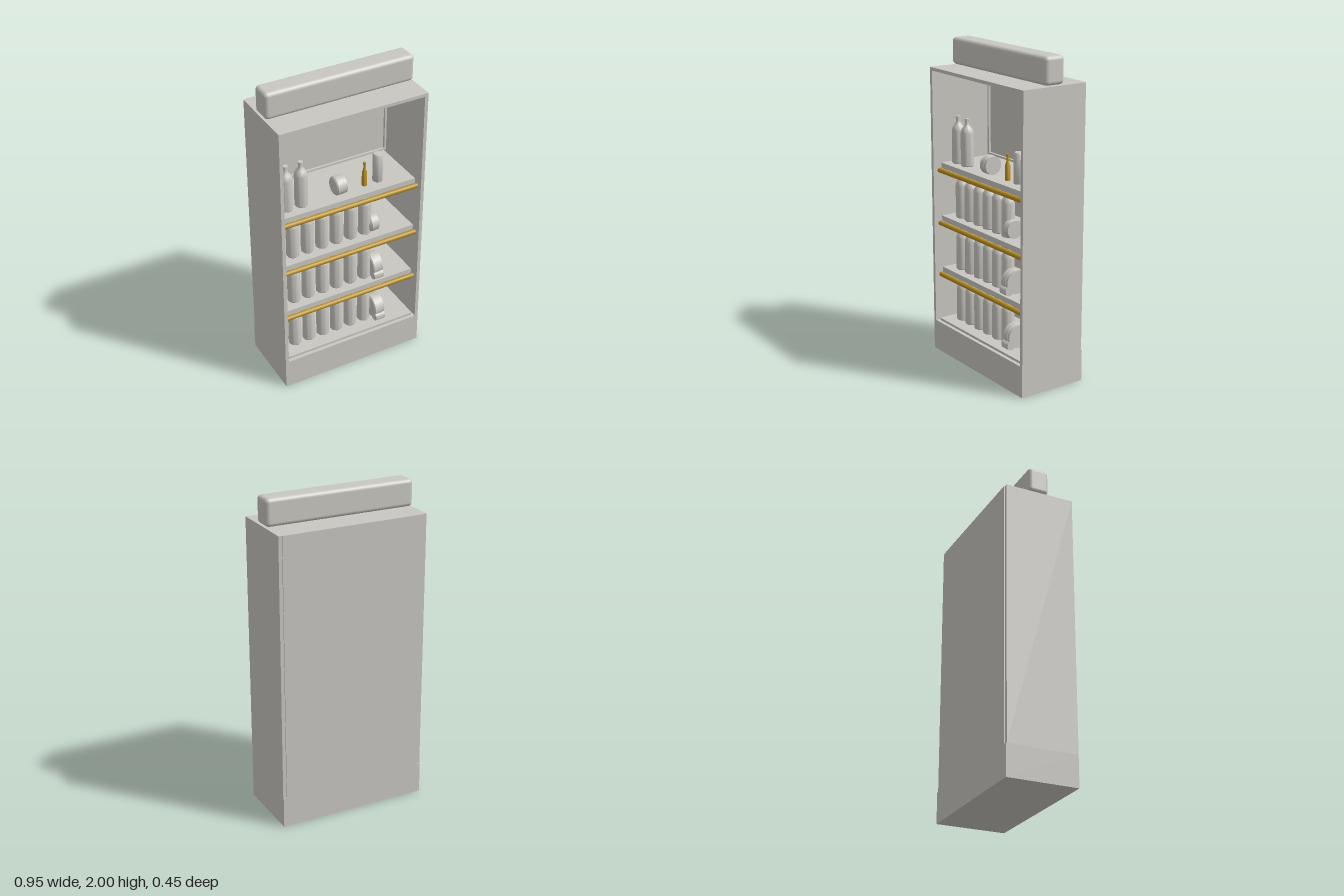
import * as THREE from 'three';
import { RoundedBoxGeometry } from 'three/addons/geometries/RoundedBoxGeometry.js';
import { toCreasedNormals } from 'three/addons/utils/BufferGeometryUtils.js';

export function createModel() {
  const model = new THREE.Group();
  const grey = new THREE.MeshStandardMaterial({ name: 'warmGrey', color: 0xc9c7c1 });
  const gold = new THREE.MeshStandardMaterial({ name: 'gold', color: 0xb88f22 });

  const add = (name, geometry, material, x, y, z, parent = model) => {
    const mesh = new THREE.Mesh(geometry, material);
    mesh.name = name;
    mesh.position.set(x, y, z);
    parent.add(mesh);
    return mesh;
  };
  // Box given by its lower and upper corners
  const box = (name, [x0, y0, z0], [x1, y1, z1], parent) =>
    add(name, new THREE.BoxGeometry(x1 - x0, y1 - y0, z1 - z0), grey,
      (x0 + x1) / 2, (y0 + y1) / 2, (z0 + z1) / 2, parent);
  // Turned shape from [radius, height] pairs, bottom to top
  const turned = (points, sides = 24) => toCreasedNormals(
    new THREE.LatheGeometry(points.map(([r, y]) => new THREE.Vector2(r, y)), sides), 0.6);

  // Cabinet carcass
  box('plinth', [-0.477, 0, -0.223], [0.477, 0.195, 0.223]);
  for (const side of [-1, 1]) {
    const panel = box('sidePanel', [0.455, 0.195, -0.217], [0.477, 1.83, 0.223]);
    panel.position.x *= side;
  }
  box('topPanel', [-0.455, 1.81, -0.217], [0.455, 1.83, 0.223]);
  box('backPanel', [-0.455, 0.195, -0.223], [0.455, 1.83, -0.2]);
  box('floorBoard', [-0.44, 0.195, -0.2], [0.44, 0.21, 0.2]);

  // Slim frame around the upper back
  for (const side of [-1, 1]) {
    const strip = box('backFrameSide', [0.442, 1.235, -0.2], [0.455, 1.81, -0.185]);
    strip.position.x *= side;
  }
  box('backFrameBottom', [-0.442, 1.235, -0.2], [0.442, 1.248, -0.185]);

  // Rounded sign block above the cabinet
  add('headerSign', new RoundedBoxGeometry(0.954, 0.166, 0.134, 4, 0.025), grey, 0, 1.917, 0);

  // Shelves with gold rails
  const railGeometry = new THREE.CylinderGeometry(0.015, 0.015, 0.908, 20).rotateZ(Math.PI / 2);
  for (const top of [0.55, 0.89, 1.232]) {
    box('shelf', [-0.443, top - 0.034, -0.2], [0.443, top, 0.173]);
    add('shelfRail', railGeometry, gold, 0, top - 0.049, 0.18);
  }

  // Large bottles: two on the top shelf, six on each lower level
  const bottleGeometry = turned([[0, 0], [0.036, 0], [0.04, 0.005], [0.04, 0.205], [0.037, 0.222],
    [0.028, 0.238], [0.017, 0.252], [0.013, 0.264], [0.013, 0.284], [0.016, 0.285], [0.016, 0.295], [0, 0.295]]);
  const itemZ = 0.088;
  for (const x of [-0.377, -0.28]) add('bottle', bottleGeometry, grey, x, 1.232, itemZ);
  for (const level of [0.21, 0.55, 0.89])
    for (let i = 0; i < 6; i++) add('bottle', bottleGeometry, grey, -0.342 + i * 0.0978, level, itemZ);

  // Small gold bottle and tall canister
  add('goldBottle', turned([[0, 0], [0.016, 0], [0.016, 0.09], [0.008, 0.11], [0.007, 0.143],
    [0.009, 0.144], [0.009, 0.158], [0, 0.158]], 16), gold, 0.142, 1.232, itemZ);
  add('canister', turned([[0, 0], [0.029, 0], [0.031, 0.003], [0.031, 0.178], [0.026, 0.187], [0, 0.187]]),
    grey, 0.238, 1.232, 0.078);

  // Jars lying on their sides, lid towards +x; bevel softens the far end
  const jar = (x, level, z, radius, bevel) => {
    const w = 0.067;
    const geometry = turned([[0, -w / 2], [radius - bevel, -w / 2], [radius, -w / 2 + bevel],
      [radius, w * 0.2], [radius * 0.97, w * 0.22], [radius * 0.97, w / 2], [0, w / 2]]).rotateZ(-Math.PI / 2);
    add('jar', geometry, grey, x, level + radius, z);
  };
  jar(-0.035, 1.232, itemZ, 0.058, 0.008);
  jar(0.188, 0.89, itemZ, 0.057, 0.02);
  for (const [x, level] of [[0.209, 0.55], [0.228, 0.21]]) {
    jar(x, level, itemZ, 0.076, 0.006);
    jar(x, level, 0.145, 0.03, 0.004);
  }
  return model;
}
